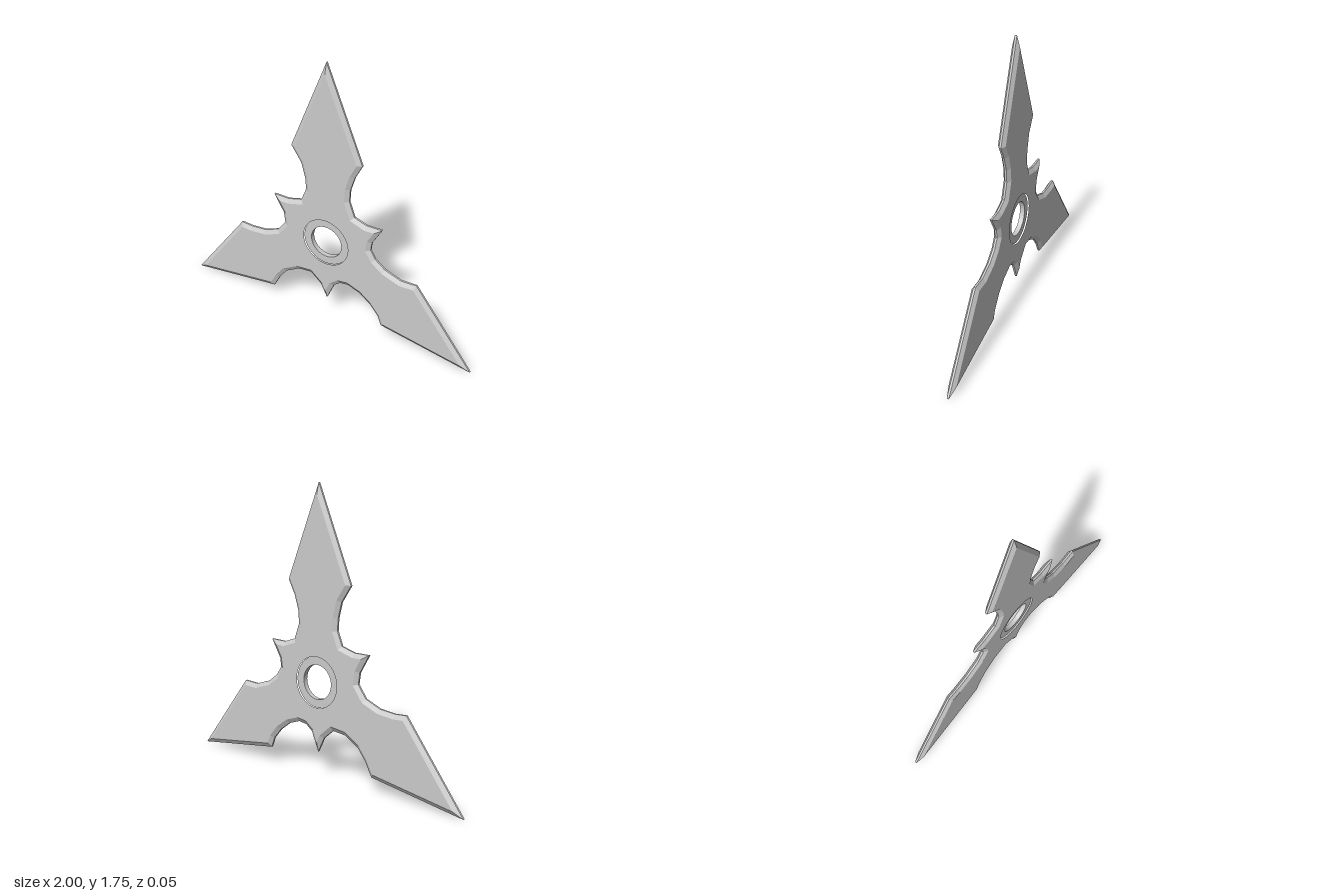
import * as THREE from 'three';

const HALF = 0.023;    // half thickness of the flat faces
const RIM = 0.006;     // half thickness of the outer edge
const BEVEL = 0.026;   // width of the ground bevel
const HUB = [0.015, 0.587];

// One side of the silhouette after another, clockwise from the top point
const OUTLINE = [
  [0.01, 1.75], [0.245, 1.18], [0.198, 1.09], [0.17, 1.0], [0.165, 0.92], [0.2, 0.825], [0.28, 0.797],
  [0.385, 0.8], [0.32, 0.69], [0.313, 0.635], [0.348, 0.58], [0.415, 0.53], [0.52, 0.495], [0.62, 0.5],
  [1, 0.015], [0.4, 0.105], [0.375, 0.17], [0.32, 0.235], [0.245, 0.29], [0.165, 0.318], [0.11, 0.31], [0.065, 0.275],
  [0.015, 0.158], [-0.03, 0.25], [-0.1, 0.31], [-0.19, 0.3], [-0.285, 0.245], [-0.34, 0.175], [-0.385, 0.09],
  [-1, 0], [-0.62, 0.5], [-0.54, 0.495], [-0.44, 0.505], [-0.34, 0.545], [-0.285, 0.62], [-0.295, 0.69],
  [-0.36, 0.8], [-0.255, 0.8], [-0.165, 0.825], [-0.13, 0.91], [-0.135, 0.985], [-0.16, 1.08], [-0.228, 1.18],
].map(([x, y]) => new THREE.Vector2(x, y));

// Moves a clockwise loop inwards with mitred corners
function inset(loop, d) {
  const n = loop.length;
  return loop.map((p, i) => {
    const a = p.clone().sub(loop[(i + n - 1) % n]).normalize();
    const b = loop[(i + 1) % n].clone().sub(p).normalize();
    const n1 = new THREE.Vector2(a.y, -a.x), n2 = new THREE.Vector2(b.y, -b.x);
    return n1.clone().add(n2).multiplyScalar(d / (1 + n1.dot(n2))).add(p);
  });
}

// Walls joining successive [loop, z] sections, front to back
function skin(sections) {
  const pos = [];
  for (let s = 0; s + 1 < sections.length; s++) {
    const [A, za] = sections[s], [B, zb] = sections[s + 1];
    A.forEach((a, i) => {
      const j = (i + 1) % A.length, c = A[j], b = B[i], d = B[j];
      pos.push(a.x, a.y, za, c.x, c.y, za, d.x, d.y, zb);
      pos.push(a.x, a.y, za, d.x, d.y, zb, b.x, b.y, zb);
    });
  }
  const g = new THREE.BufferGeometry();
  g.setAttribute('position', new THREE.Float32BufferAttribute(pos, 3));
  g.computeVertexNormals();
  return g;
}

// Flat plate with a round hole at the hub
function plate(shape, holeRadius, half) {
  shape.holes.push(new THREE.Path().absarc(...HUB, holeRadius, 0, Math.PI * 2, true));
  const g = new THREE.ExtrudeGeometry(shape, { depth: half * 2, bevelEnabled: false, curveSegments: 32 });
  return g.translate(0, 0, -half);
}

export function createModel() {
  const group = new THREE.Group();
  group.name = 'throwingStar';
  const material = new THREE.MeshStandardMaterial({ color: 0xcccccc, flatShading: true });
  const add = (name, geometry) => {
    const mesh = new THREE.Mesh(geometry, material);
    mesh.name = name;
    group.add(mesh);
  };

  const inner = inset(OUTLINE, BEVEL);

  // Flat front and back faces
  add('blade', plate(new THREE.Shape(inner), 0.155, HALF));

  // Sharpened bevels and thin rim
  add('bevelledEdge', skin([[inner, HALF], [OUTLINE, RIM], [OUTLINE, -RIM], [inner, -HALF]]));

  // Slightly recessed ring around the centre hole
  const disc = new THREE.Shape().absarc(...HUB, 0.155, 0, Math.PI * 2, false);
  add('hubRing', plate(disc, 0.105, HALF - 0.008));

  return group;
}
